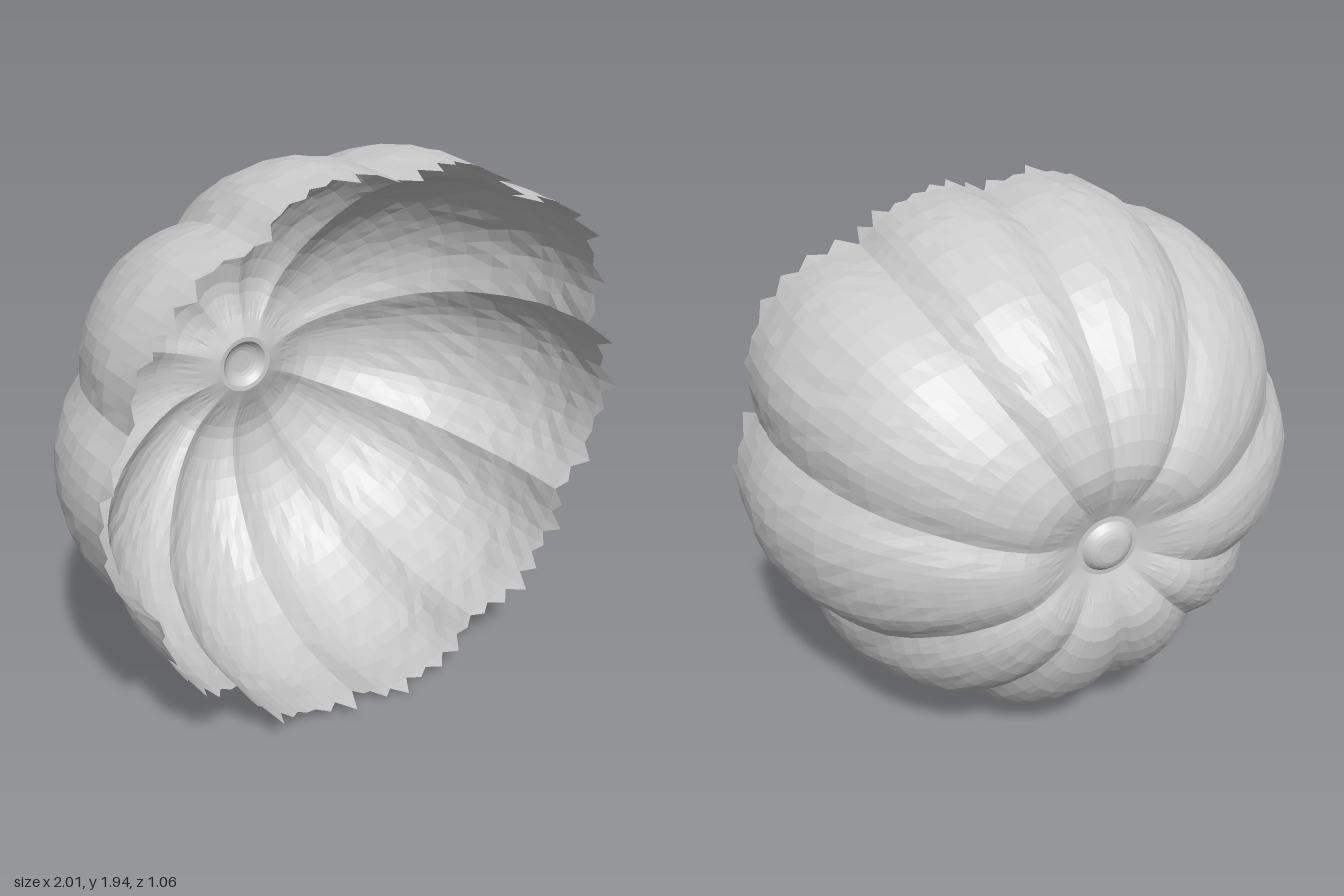
import * as THREE from 'three';

// Grooves between the lobes: [angle in degrees, groove radius, peak radius of the lobe that follows]
const LOBES = [
  [-24, 0.9, 1.0], [17, 0.95, 1.045], [59, 0.95, 0.99], [88, 0.93, 0.985], [120, 0.935, 1.005],
  [160, 0.95, 1.005], [202, 0.895, 0.95], [231, 0.895, 0.96], [264, 0.92, 0.975], [299, 0.9, 0.955],
];
const PER_LOBE = 14;
const ROWS = 30;
const CENTER = [0.01, 0.97];

// Half profile from the blossom end to the cut: (relative radius, z)
const PROFILE = [
  [0, -0.5], [0.05, -0.498], [0.078, -0.485], [0.1, -0.465], [0.16, -0.484], [0.23, -0.51],
  [0.33, -0.53], [0.5, -0.488], [0.65, -0.405], [0.77, -0.302], [0.86, -0.19], [0.95, 0],
  [0.99, 0.15], [1, 0.26], [0.993, 0.42],
];

function seeded(seed) {
  return () => {
    seed = (seed * 16807) % 2147483647;
    return seed / 2147483647;
  };
}

// Rounded valley at both ends of a lobe, broad crown between them
function lobeBump(t) {
  const s = Math.sin(Math.PI * t);
  return 1 - Math.pow(1 - Math.min(1, (1.12 * s * s) / (s + 0.12)), 1.4);
}

// Columns of the shell: angle, radius and how deep the column lies in a groove
function makeColumns() {
  const columns = [];
  LOBES.forEach(([angle, groove, peak], k) => {
    const next = LOBES[(k + 1) % LOBES.length];
    const endAngle = next[0] < angle ? next[0] + 360 : next[0];
    for (let i = 0; i < PER_LOBE; i++) {
      const t = i / PER_LOBE;
      const bump = lobeBump(t);
      const base = groove + (next[1] - groove) * t;
      columns.push({
        angle: THREE.MathUtils.degToRad(angle + (endAngle - angle) * t),
        radius: base + (peak - (groove + next[1]) / 2) * bump,
        dip: 1 - bump,
      });
    }
  });
  return columns;
}

function shellGeometry() {
  const { smoothstep, lerp } = THREE.MathUtils;
  const random = seeded(77);
  const columns = makeColumns();
  const n = columns.length;
  const curve = new THREE.CatmullRomCurve3(PROFILE.map(([r, z]) => new THREE.Vector3(r, z, 0)), false, 'centripetal');
  const positions = [];
  const index = [];

  for (let i = 0; i <= ROWS + 1; i++) {
    const p = curve.getPoint(Math.min(i / ROWS, 1));
    // Grooves run shallowly over the back face and fade out at the central button
    const backFade = smoothstep(p.x, 0.1, 0.35) * (1 - smoothstep(p.x, 0.6, 0.98));
    // The button sits slightly off the middle
    const shift = 0.01 * (1 - smoothstep(p.x, 0.1, 0.5));
    columns.forEach(({ angle, radius, dip }, j) => {
      const lobe = lerp(0.97, radius, smoothstep(p.x, 0.08, 0.5));
      const wobble = p.x > 0.2 && i < ROWS ? (random() - 0.5) * 0.007 : 0;
      const r = p.x * lobe + wobble;
      let z = p.y + 0.022 * dip * backFade;
      // Torn rim of uneven teeth
      if (i === ROWS + 1) z += j % 2 ? 0.015 + 0.095 * Math.pow(random(), 1.5) : 0.015 * random();
      positions.push(CENTER[0] + shift + r * Math.cos(angle), CENTER[1] + shift + r * Math.sin(angle), z);
    });
  }
  for (let i = 0; i <= ROWS; i++) {
    for (let j = 0; j < n; j++) {
      const a = i * n + j;
      const b = i * n + ((j + 1) % n);
      if (i > 0) index.push(a, b, a + n);
      index.push(b, b + n, a + n);
    }
  }
  const indexed = new THREE.BufferGeometry();
  indexed.setAttribute('position', new THREE.Float32BufferAttribute(positions, 3));
  indexed.setIndex(index);
  const geometry = indexed.toNonIndexed();
  geometry.computeVertexNormals();
  return geometry;
}

export function createModel() {
  const group = new THREE.Group();
  group.name = 'halfPumpkin';
  const material = new THREE.MeshStandardMaterial({ color: 0xcccccc, flatShading: true, side: THREE.DoubleSide });
  const shell = new THREE.Mesh(shellGeometry(), material);
  shell.name = 'ribbedShell';
  group.add(shell);
  return group;
}
